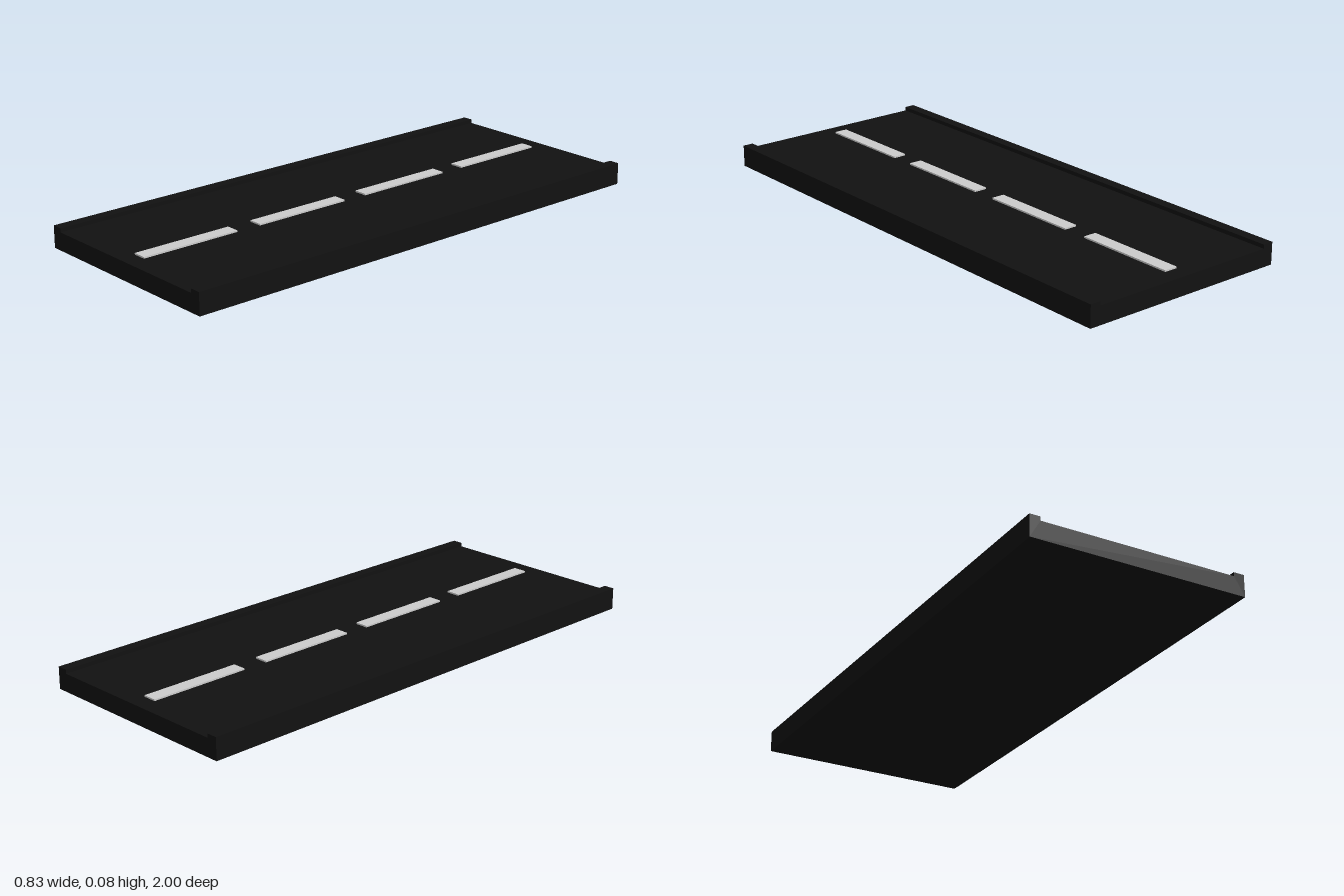
import * as THREE from 'three';

const LENGTH = 2, HALF_WIDTH = 0.415, KERB_INNER = 0.374;
const DECK_TOP = 0.068, KERB_TOP = 0.083;

export function createModel() {
  const road = new THREE.Group();
  road.name = 'roadSection';
  const asphalt = new THREE.MeshStandardMaterial({ color: 0x111111 });
  const paint = new THREE.MeshStandardMaterial({ color: 0xcccccc });

  // Road slab with a raised kerb along each side, extruded along z
  const profile = new THREE.Shape([
    [-HALF_WIDTH, 0], [HALF_WIDTH, 0], [HALF_WIDTH, KERB_TOP], [KERB_INNER, KERB_TOP],
    [KERB_INNER, DECK_TOP], [-KERB_INNER, DECK_TOP], [-KERB_INNER, KERB_TOP], [-HALF_WIDTH, KERB_TOP],
  ].map(([x, y]) => new THREE.Vector2(x, y)));
  const slabGeometry = new THREE.ExtrudeGeometry(profile, { depth: LENGTH, bevelEnabled: false });
  slabGeometry.translate(0, 0, -LENGTH / 2);
  const slab = new THREE.Mesh(slabGeometry, asphalt);
  slab.name = 'slabWithKerbs';
  road.add(slab);

  // Four raised dashes down the centre line
  const dashHeight = 0.006, dashSpacing = 0.492;
  const dashGeometry = new THREE.BoxGeometry(0.052, dashHeight, 0.393);
  for (let i = 0; i < 4; i++) {
    const dash = new THREE.Mesh(dashGeometry, paint);
    dash.name = `centreDash${i + 1}`;
    dash.position.set(0, DECK_TOP + dashHeight / 2, (i - 1.5) * dashSpacing);
    road.add(dash);
  }
  return road;
}
